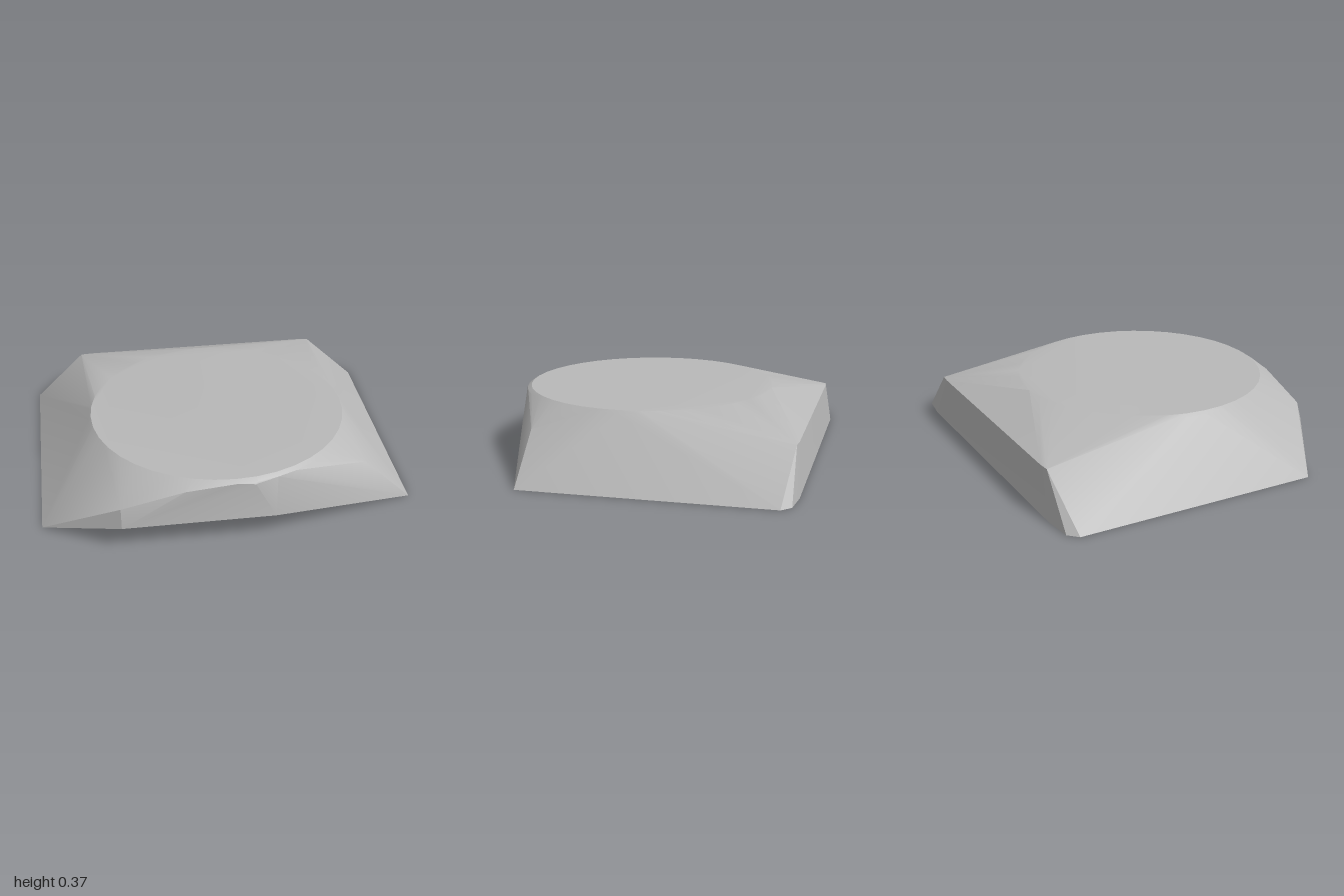
import * as THREE from 'three';
import { ConvexGeometry } from 'three/addons/geometries/ConvexGeometry.js';
import { toCreasedNormals } from 'three/addons/utils/BufferGeometryUtils.js';

const grey = new THREE.MeshStandardMaterial({ name: 'stone grey', color: 0xb8b8b8 });

// Ring of points around the round top plate
function ring(rx, rz, y, count = 40) {
  return Array.from({ length: count }, (_, i) => {
    const a = (i / count) * Math.PI * 2;
    return new THREE.Vector3(rx * Math.cos(a), y, 0.115 + rz * Math.sin(a));
  });
}

export function createModel() {
  const group = new THREE.Group();
  group.name = 'facetedBlock';
  const p = (x, y, z) => new THREE.Vector3(x, y, z);

  // Flat round top with a narrow softened rim
  const points = [...ring(0.7, 0.688, 0.37), ...ring(0.715, 0.712, 0.355)];

  // Mirrored base corners, clipped rear corners and raised rear ledge
  for (const s of [-1, 1]) {
    points.push(
      p(s, 0, 0.585), p(s, 0, -0.77), p(s * 0.95, 0, -0.82), p(s * 0.8, 0, -0.838),
      p(s * 0.72, 0.25, -0.808), p(s * 0.66, 0.25, -0.814),
    );
  }

  // Uneven front: undercut lip, left shoulder and right shoulder
  points.push(
    p(-0.59, 0.14, 0.835), p(0.21, 0.14, 0.835),
    p(-0.59, 0.24, 0.805), p(-0.26, 0.33, 0.825), p(0.1, 0.345, 0.828),
    p(0.74, 0.25, 0.58),
  );

  const body = new THREE.Mesh(toCreasedNormals(new ConvexGeometry(points), 0.42), grey);
  body.name = 'body';
  group.add(body);
  return group;
}
